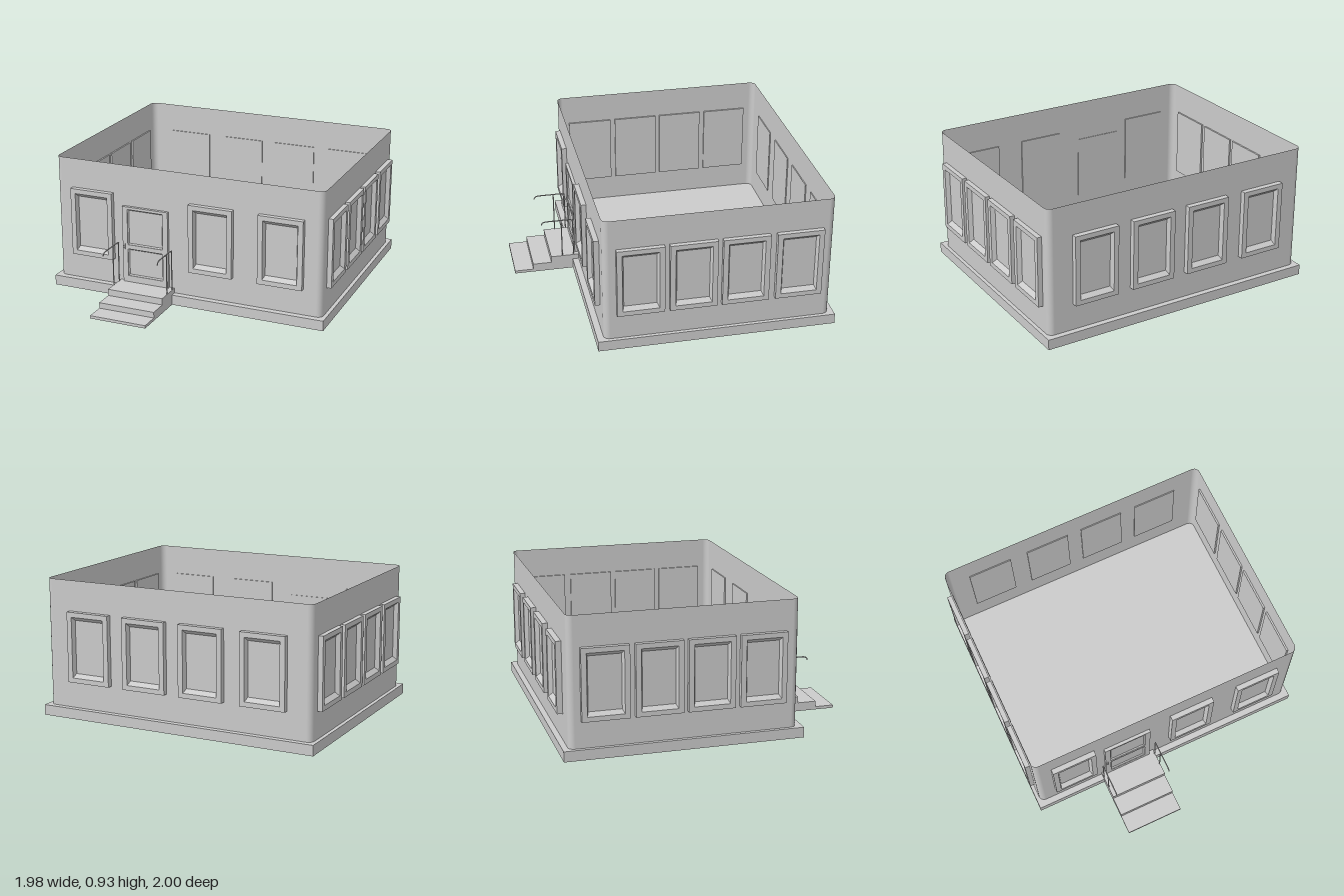
import * as THREE from 'three';

const grey = new THREE.MeshStandardMaterial({ color: 0xcccccc });
const sheet = new THREE.MeshStandardMaterial({ color: 0xcccccc, side: THREE.DoubleSide });

function add(parent, name, geometry, x = 0, y = 0, z = 0, material = grey) {
  const mesh = new THREE.Mesh(geometry, material);
  mesh.name = name;
  mesh.position.set(x, y, z);
  parent.add(mesh);
  return mesh;
}

const box = (w, h, d) => new THREE.BoxGeometry(w, h, d);

// Rectangular loops [half width, half height, z] joined into a closed body, flat sided
function rectLoft(loops) {
  const pos = [];
  const corners = loops.map(([w, h, z]) => [[-w, -h, z], [w, -h, z], [w, h, z], [-w, h, z]]);
  const quad = (a, b, c, d) => pos.push(...a, ...b, ...c, ...a, ...c, ...d);
  for (let i = 0; i < corners.length - 1; i++) {
    const p = corners[i], q = corners[i + 1];
    for (let k = 0; k < 4; k++) {
      const n = (k + 1) % 4;
      quad(p[k], p[n], q[n], q[k]);
    }
  }
  const last = corners[corners.length - 1], first = corners[0];
  quad(...last);
  quad(first[3], first[2], first[1], first[0]);
  const g = new THREE.BufferGeometry();
  g.setAttribute('position', new THREE.Float32BufferAttribute(pos, 3));
  g.computeVertexNormals();
  return g;
}

function rectPath(Type, x0, y0, x1, y1) {
  const p = new Type();
  p.moveTo(x0, y0);
  p.lineTo(x1, y0);
  p.lineTo(x1, y1);
  p.lineTo(x0, y1);
  p.closePath();
  return p;
}

// Thin wall around the building with rounded corners, open above
function wallGeometry(x, z0, z1, r, y0, y1) {
  const centres = [[x - r, z1 - r], [-x + r, z1 - r], [-x + r, z0 + r], [x - r, z0 + r]];
  const pos = [], nor = [], index = [];
  const steps = 6;
  centres.forEach(([cx, cz], c) => {
    for (let i = 0; i <= steps; i++) {
      const a = (c + i / steps) * Math.PI / 2;
      const nx = Math.cos(a), nz = Math.sin(a);
      for (const y of [y0, y1]) {
        pos.push(cx + r * nx, y, cz + r * nz);
        nor.push(nx, 0, nz);
      }
    }
  });
  const n = pos.length / 6;
  for (let i = 0; i < n; i++) {
    const a = 2 * i, b = 2 * ((i + 1) % n);
    index.push(a, a + 1, b, b, a + 1, b + 1);
  }
  const g = new THREE.BufferGeometry();
  g.setAttribute('position', new THREE.Float32BufferAttribute(pos, 3));
  g.setAttribute('normal', new THREE.Float32BufferAttribute(nor, 3));
  g.setIndex(index);
  return g;
}

export function createModel() {
  const model = new THREE.Group();
  model.name = 'building';

  // Plinth: a floor sheet with a skirt on four sides, open underneath
  const plinth = new THREE.Group();
  plinth.name = 'plinth';
  plinth.position.set(0, 0, -0.206);
  model.add(plinth);
  const plinthX = 0.983, plinthZ = 0.794, plinthY = 0.07;
  add(plinth, 'floor', new THREE.PlaneGeometry(2 * plinthX, 2 * plinthZ).rotateX(-Math.PI / 2), 0, plinthY, 0, sheet);
  for (const side of [-1, 1]) {
    const turn = side > 0 ? 0 : Math.PI;
    add(plinth, 'skirt', new THREE.PlaneGeometry(2 * plinthX, plinthY).rotateY(turn), 0, plinthY / 2, side * plinthZ, sheet);
    add(plinth, 'skirt', new THREE.PlaneGeometry(2 * plinthZ, plinthY).rotateY(turn + Math.PI / 2), side * plinthX, plinthY / 2, 0, sheet);
  }

  add(model, 'walls', wallGeometry(0.958, -0.962, 0.545, 0.04, 0.07, 0.93), 0, 0, 0, sheet);

  // Windows: projecting frame, bevelled reveal and recessed pane
  const windowGeometry = rectLoft([
    [0.155, 0.2375, -0.013], [0.155, 0.2375, 0.031], [0.12, 0.205, 0.031],
    [0.108, 0.18, 0.002],
  ]);
  const addWindow = (name, x, z, turn) => {
    add(model, name, windowGeometry, x, 0.4875, z).rotation.y = turn;
  };
  for (const x of [-0.686, 0.184, 0.674]) addWindow('frontWindow', x, 0.549, 0);
  for (const x of [-0.635, -0.2, 0.213, 0.63]) addWindow('backWindow', x, -0.968, Math.PI);
  for (const z of [0.307, -0.037, -0.38, -0.735]) addWindow('leftWindow', 0.959, z, Math.PI / 2);
  for (const z of [0.305, -0.04, -0.382, -0.728]) addWindow('rightWindow', -0.959, z, -Math.PI / 2);

  // Door: leaf with two framed openings, a bevelled panel in each and a handle
  const door = new THREE.Group();
  door.name = 'door';
  door.position.set(-0.2925, 0, 0.54);
  model.add(door);
  const panels = [[0.15, 0.345], [0.375, 0.627]];
  const leaf = rectPath(THREE.Shape, -0.1675, 0.105, 0.1675, 0.645);
  for (const [y0, y1] of panels) {
    leaf.holes.push(rectPath(THREE.Path, -0.13, y0, 0.13, y1));
    const h = (y1 - y0) / 2;
    add(door, 'doorPanel', rectLoft([[0.13, h, 0], [0.13, h, 0.022], [0.122, h - 0.008, 0.014]]), 0, (y0 + y1) / 2, 0);
  }
  add(door, 'doorLeaf', new THREE.ExtrudeGeometry(leaf, { depth: 0.026, bevelEnabled: false }));
  add(door, 'handlePlate', box(0.012, 0.04, 0.004), -0.155, 0.36, 0.028);
  add(door, 'handle', new THREE.SphereGeometry(0.007, 12, 8), -0.155, 0.36, 0.034);

  // Entrance steps: hollow shell of treads, risers and two cheeks
  const steps = new THREE.Group();
  steps.name = 'steps';
  steps.position.x = -0.289;
  model.add(steps);
  const width = 0.402;
  const profile = [[1, 0], [1, 0.02], [0.87, 0.02], [0.87, 0.06], [0.74, 0.06], [0.74, 0.105], [0.545, 0.105]];
  for (let i = 0; i < profile.length - 1; i++) {
    const [za, ya] = profile[i], [zb, yb] = profile[i + 1];
    const tread = ya === yb;
    const g = new THREE.PlaneGeometry(width, Math.abs(tread ? za - zb : yb - ya));
    if (tread) g.rotateX(-Math.PI / 2);
    add(steps, tread ? 'tread' : 'riser', g, 0, (ya + yb) / 2, (za + zb) / 2, sheet);
  }
  const cheek = new THREE.Shape([...profile, [0.545, 0]].map(([z, y]) => new THREE.Vector2(-z, y)));
  const cheekGeometry = new THREE.ShapeGeometry(cheek).rotateY(Math.PI / 2);

  // Handrails: curved top bar on two posts each side
  const railPath = new THREE.CatmullRomCurve3([
    [0.8, 0.365], [0.793, 0.379], [0.775, 0.387], [0.75, 0.388], [0.68, 0.388],
    [0.61, 0.388], [0.588, 0.385], [0.58, 0.37], [0.579, 0.345],
  ].map(([z, y]) => new THREE.Vector3(0, y, z)));
  const railGeometry = new THREE.TubeGeometry(railPath, 32, 0.004, 8, false);
  const postGeometry = new THREE.CylinderGeometry(0.004, 0.004, 0.285, 8);
  for (const side of [-1, 1]) {
    add(steps, 'stepCheek', cheekGeometry, side * width / 2, 0, 0, sheet);
    const x = side * (width / 2 - 0.003);
    add(steps, 'handrail', railGeometry, x, 0, 0, sheet);
    for (const z of [0.58, 0.66]) add(steps, 'railPost', postGeometry, x, 0.245, z);
  }

  return model;
}
